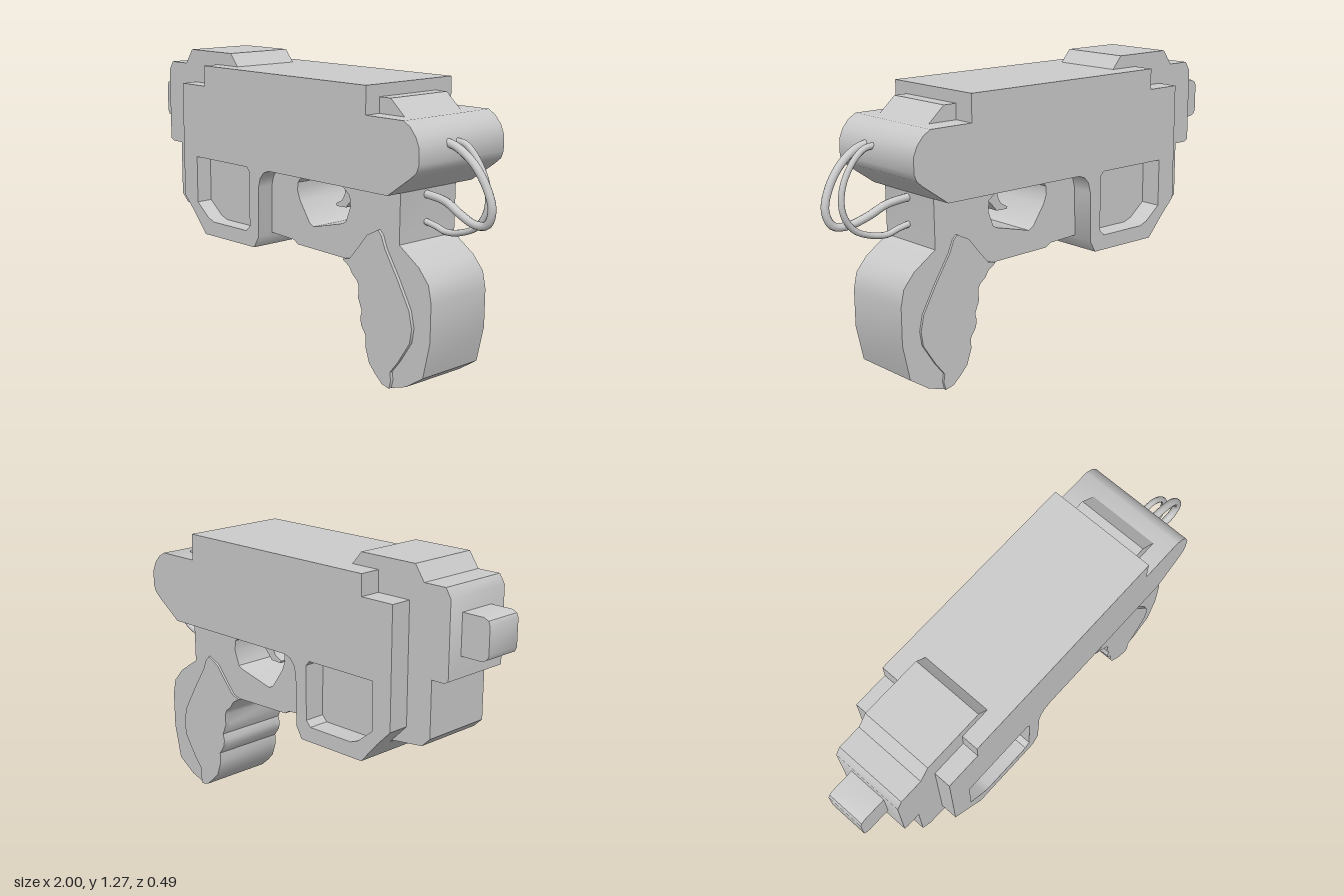
import * as THREE from 'three';
import { toCreasedNormals } from 'three/addons/utils/BufferGeometryUtils.js';

const material = new THREE.MeshStandardMaterial({ color: 0xcccccc });
const points = (list) => list.map(([x, y]) => new THREE.Vector2(x, y));

// Side profile extruded between two depths, with optional openings.
function plate(name, outline, z0, z1, holes = []) {
  const shape = new THREE.Shape(points(outline));
  holes.forEach((h) => shape.holes.push(new THREE.Path(points(h))));
  const geometry = new THREE.ExtrudeGeometry(shape, { depth: z1 - z0, bevelEnabled: false });
  geometry.translate(0, 0, z0);
  const mesh = new THREE.Mesh(toCreasedNormals(geometry, 0.6), material);
  mesh.name = name;
  return mesh;
}

function cable(name, path, radius) {
  const curve = new THREE.CatmullRomCurve3(path.map((p) => new THREE.Vector3(...p)));
  const mesh = new THREE.Mesh(new THREE.TubeGeometry(curve, 40, radius, 10), material);
  mesh.name = name;
  return mesh;
}

export function createModel() {
  const group = new THREE.Group();
  group.name = 'toyBlaster';

  // Scalloped finger edge shared by the grip and its side panels
  const fingerEdge = [
    [0.58, 0.005], [0.54, 0.015], [0.5, 0.05], [0.467, 0.085], [0.445, 0.15], [0.447, 0.195],
    [0.42, 0.235], [0.415, 0.265], [0.423, 0.295], [0.402, 0.345], [0.405, 0.395], [0.395, 0.415],
    [0.365, 0.44], [0.35, 0.465], [0.31, 0.49],
  ];

  // Central frame: muzzle block, top sight, trigger guard and grip
  const frame = [
    [-0.87, 1.17], [-0.87, 0.85], [-0.85, 0.84], [-0.79, 0.84], [-0.79, 0.6], [-0.75, 0.562],
    [-0.6, 0.545], [-0.51, 0.48], [-0.17, 0.48], [-0.15, 0.52], [-0.005, 0.513], [0.02, 0.497],
    [0.31, 0.49], ...fingerEdge.slice(0, -1).reverse(),
    [0.66, 0.03], [0.75, 0.088], [0.785, 0.24], [0.787, 0.4], [0.772, 0.47], [0.72, 0.53],
    [0.615, 0.6], [0.62, 0.9], [0.635, 1.0], [0.635, 1.105], [0.56, 1.17], [0.45, 1.17],
    [-0.35, 1.2], [-0.37, 1.22], [-0.417, 1.275], [-0.695, 1.275], [-0.74, 1.21], [-0.845, 1.21],
  ];
  const triggerOpening = [
    [0.02, 0.73], [0.022, 0.765], [0.045, 0.79], [0.08, 0.805], [0.29, 0.805], [0.302, 0.78],
    [0.335, 0.755], [0.34, 0.71], [0.315, 0.645], [0.295, 0.633], [0.12, 0.59], [0.095, 0.603], [0.035, 0.69],
  ];
  group.add(plate('frame', frame, -0.15, 0.17, [triggerOpening]));

  // Wide outer shell with a recessed window on both sides
  const shell = [
    [-0.67, 1.13], [-0.67, 0.62], [-0.6, 0.55], [-0.52, 0.46], [-0.18, 0.46], [-0.15, 0.51],
    [-0.146, 0.73], [-0.135, 0.77], [-0.113, 0.795], [-0.08, 0.807], [0.62, 0.807],
    [0.74, 0.89], [0.77, 0.915], [0.782, 0.945], [0.782, 1.01], [0.765, 1.05], [0.735, 1.085], [0.7, 1.105],
    [0.5, 1.105], [0.5, 1.22], [-0.51, 1.22], [-0.51, 1.13],
  ];
  const sideWindow = [
    [-0.575, 0.807], [-0.225, 0.807], [-0.208, 0.787], [-0.208, 0.55], [-0.232, 0.525],
    [-0.46, 0.525], [-0.5, 0.54], [-0.575, 0.6],
  ];
  group.add(plate('outerShell', shell, -0.245, 0.245, [sideWindow]));

  // Muzzle tip
  group.add(plate('muzzleTip', [
    [-1, 1.08], [-1, 0.965], [-0.992, 0.947], [-0.97, 0.937], [-0.86, 0.937],
    [-0.86, 1.108], [-0.97, 1.108], [-0.992, 1.098],
  ], -0.08, 0.09));

  // Trigger
  group.add(plate('trigger', [
    [0.19, 0.82], [0.205, 0.76], [0.203, 0.73], [0.187, 0.7], [0.15, 0.68], [0.155, 0.67],
    [0.21, 0.672], [0.23, 0.695], [0.255, 0.72], [0.3, 0.738], [0.3, 0.82],
  ], -0.05, 0.07));

  // Raised grip panels
  const panel = [
    ...fingerEdge, [0.35, 0.5], [0.4, 0.555], [0.45, 0.615], [0.51, 0.645], [0.53, 0.625],
    [0.55, 0.575], [0.62, 0.465], [0.685, 0.35], [0.7, 0.28], [0.69, 0.22], [0.63, 0.13],
    [0.585, 0.075], [0.59, 0.04],
  ];
  group.add(plate('leftGripPanel', panel, 0.16, 0.184));
  group.add(plate('rightGripPanel', panel, -0.16, -0.14));

  // Loose cables at the rear
  group.add(cable('thickCable', [
    [0.76, 1.015, 0.075], [0.82, 1.0, 0.075], [0.9, 0.945, 0.07], [0.96, 0.86, 0.064], [0.982, 0.78, 0.058],
    [0.955, 0.718, 0.052], [0.89, 0.708, 0.045], [0.8, 0.735, 0.032], [0.72, 0.77, 0.024], [0.6, 0.785, 0.02],
  ], 0.017));
  group.add(cable('thinCable', [
    [0.76, 1.015, 0.024], [0.82, 1.005, 0.024], [0.88, 0.95, 0.024], [0.925, 0.86, 0.022], [0.927, 0.77, 0.02],
    [0.88, 0.695, 0.02], [0.8, 0.658, 0.02], [0.72, 0.648, 0.02], [0.67, 0.662, 0.02], [0.6, 0.675, 0.02],
  ], 0.013));

  return group;
}
